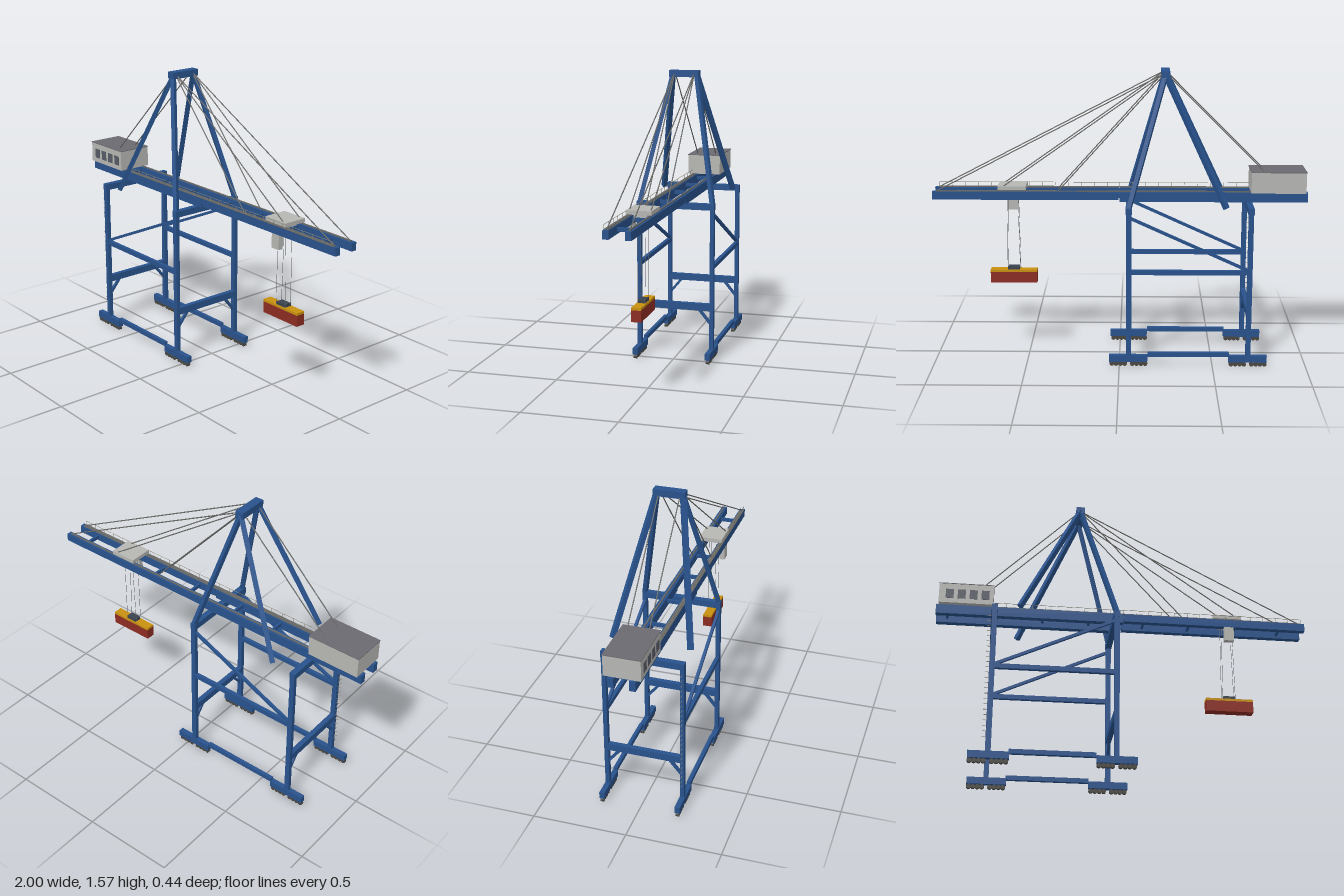
import * as THREE from 'three';

const mat = (name, color) => Object.assign(new THREE.MeshStandardMaterial({ color }), { name });

export function createModel() {
  const blue = mat('crane blue', 0x28528c);
  const wall = mat('light grey panel', 0xb6b6b3);
  const roofGrey = mat('roof grey', 0x6a6a70);
  const glass = mat('window slate', 0x565b65);
  const steel = mat('cable grey', 0x686866);
  const wheelGrey = mat('wheel grey', 0x4a4742);
  const railGrey = mat('railing grey', 0x8c8674);
  const red = mat('container red', 0x8c2c22);
  const yellow = mat('spreader yellow', 0xc8900f);
  const head = mat('headblock slate', 0x39434f);

  const model = new THREE.Group();
  model.name = 'containerCrane';
  const group = (name) => {
    const g = new THREE.Group();
    g.name = name;
    model.add(g);
    return g;
  };
  const add = (parent, name, geometry, material) => {
    const m = new THREE.Mesh(geometry, material);
    m.name = name;
    parent.add(m);
    return m;
  };
  // Box given by its lower and upper limits on each axis
  const box = (parent, name, material, [x0, x1], [y0, y1], [z0, z1]) => {
    const m = add(parent, name, new THREE.BoxGeometry(x1 - x0, y1 - y0, z1 - z0), material);
    m.position.set((x0 + x1) / 2, (y0 + y1) / 2, (z0 + z1) / 2);
    return m;
  };
  const span = (c, w) => [c - w / 2, c + w / 2];
  // Place a geometry whose length runs along y between two points
  const between = (parent, name, material, a, b, makeGeometry) => {
    const p = new THREE.Vector3(...a), q = new THREE.Vector3(...b);
    const m = add(parent, name, makeGeometry(p.distanceTo(q)), material);
    m.position.copy(p).add(q).multiplyScalar(0.5);
    m.quaternion.setFromUnitVectors(new THREE.Vector3(0, 1, 0), q.sub(p).normalize());
    return m;
  };
  const beam = (parent, name, a, b, w) =>
    between(parent, name, blue, a, b, (l) => new THREE.BoxGeometry(w, l, w));
  const rod = (parent, name, material, a, b, r) =>
    between(parent, name, material, a, b, (l) => new THREE.CylinderGeometry(r, r, l, 16));

  const XB = -0.69, XF = -0.05, ZL = 0.205, ZG = 0.055;

  // Portal frame, sills and bogies
  const portal = group('portalFrame');
  const bogies = group('bogies');
  for (const s of [-1, 1]) {
    const z = s * ZL;
    for (const x of [XB, XF]) {
      box(portal, 'leg', blue, span(x, 0.027), [0.05, 0.87], span(z, 0.022));
      beam(portal, 'kneeBrace', [x, 0.2, s * 0.2], [x, 0.285, s * 0.13], 0.014);
      box(bogies, 'bogieBeam', blue, span(x + 0.002, 0.206), [0.024, 0.061], span(z, 0.028));
      for (const side of [-1, 1]) {
        for (let i = 0; i < 4; i++) {
          const wx = x + side * 0.055 + (i - 1.5) * 0.023;
          rod(bogies, 'wheel', wheelGrey, [wx, 0.012, z - 0.009], [wx, 0.012, z + 0.009], 0.012);
        }
      }
    }
    box(portal, 'sillBeam', blue, [-0.588, -0.152], [0.053, 0.077], span(z, 0.02));
    box(portal, 'sideTie', blue, [XB, XF], [0.51, 0.535], span(z, 0.02));
    beam(portal, 'sideDiagonal', [XB, 0.53, z], [XF, 0.82, z], 0.015);
  }
  for (const x of [XB, XF]) {
    box(portal, 'portalBeam', blue, span(x, 0.027), [0.277, 0.315], [-ZL, ZL]);
    box(portal, 'topBeam', blue, span(x, 0.032), [0.838, 0.872], [-0.217, 0.217]);
  }

  // Ladder on one rear leg
  const ladder = group('ladder');
  for (let i = 0; i < 24; i++) {
    const y = 0.14 + i * 0.029;
    rod(ladder, 'rung', railGrey, [-0.724, y, ZL], [-0.703, y, ZL], 0.0016);
  }

  // Twin girders, hinged boom, rails and cross ties
  const girders = group('girders');
  for (const s of [-1, 1]) {
    const z = s * ZG;
    box(girders, 'mainGirder', blue, [-1, 0], [0.873, 0.925], span(z, 0.032));
    box(girders, 'boomGirder', blue, [0.006, 1], [0.882, 0.925], span(z, 0.03));
    box(girders, 'trolleyRail', steel, [-0.98, 0.98], [0.925, 0.931], span(z, 0.008));
    rod(girders, 'hingePin', blue, [0.003, 0.905, z - 0.015], [0.003, 0.905, z + 0.015], 0.012);
  }
  for (const x of [-0.94, -0.685, -0.43, -0.18, 0.115, 0.365, 0.62, 0.865]) {
    box(girders, 'crossTie', blue, span(x, 0.012), [0.895, 0.915], [-ZG, ZG]);
  }

  // Walkway with handrail
  const walkway = group('walkway');
  box(walkway, 'walkwayDeck', steel, [-0.7, 0.98], [0.925, 0.928], [0.045, 0.07]);
  rod(walkway, 'handrail', railGrey, [-0.7, 0.95, 0.068], [0.98, 0.95, 0.068], 0.0012);
  for (let i = 0; i <= 24; i++) {
    const x = -0.7 + i * 0.07;
    rod(walkway, 'railPost', railGrey, [x, 0.925, 0.068], [x, 0.95, 0.068], 0.0012);
  }

  // A-frame tower
  const tower = group('aFrame');
  box(tower, 'apexBeam', blue, span(-0.24, 0.046), [1.535, 1.571], [-0.083, 0.083]);
  for (const s of [-1, 1]) {
    beam(tower, 'frontStrut', [-0.24, 1.55, s * 0.068], [XF, 0.865, s * ZL], 0.023);
    beam(tower, 'rearStrut', [-0.24, 1.55, s * 0.068], [-0.56, 0.87, s * ZL], 0.025);
  }

  // Stay cables
  const stays = group('stays');
  for (const z of [-ZG, ZG]) {
    for (const x of [-0.88, 0.33, 0.66, 0.98]) {
      rod(stays, 'stay', steel, [-0.24, 1.56, z], [x, 0.925, z], 0.003);
    }
  }

  // Machinery house
  const house = group('machineryHouse');
  box(house, 'houseWalls', wall, [-0.988, -0.698], [0.926, 1.037], [-0.095, 0.095]);
  box(house, 'houseRoof', roofGrey, [-0.99, -0.696], [1.037, 1.041], [-0.097, 0.097]);
  for (let i = 0; i < 4; i++) {
    box(house, 'houseWindow', glass, span(-0.931 + i * 0.063, 0.042), [0.952, 1.005], [0.094, 0.097]);
  }

  // Trolley with operator cabin
  const trolley = group('trolley');
  box(trolley, 'trolleyDeck', wall, [0.5, 0.65], [0.934, 0.955], [-0.066, 0.066]);
  box(trolley, 'trolleyBase', wall, [0.53, 0.62], [0.915, 0.934], [-0.035, 0.035]);
  box(trolley, 'cabin', wall, [0.553, 0.605], [0.803, 0.882], [0.041, 0.069]);

  // Hoist ropes, spreader and container
  const load = group('hoistedLoad');
  for (const s of [-1, 1]) {
    for (const t of [-1, 1]) {
      rod(load, 'hoistRope', steel, [0.575 + s * 0.028, 0.92, t * 0.022], [0.575 + s * 0.034, 0.48, t * 0.018], 0.001);
    }
  }
  box(load, 'headblock', head, [0.545, 0.609], [0.479, 0.496], [-0.02, 0.02]);
  box(load, 'spreader', yellow, [0.45, 0.703], [0.467, 0.48], [-0.025, 0.025]);
  box(load, 'container', red, [0.45, 0.703], [0.407, 0.467], [-0.025, 0.025]);

  return model;
}
